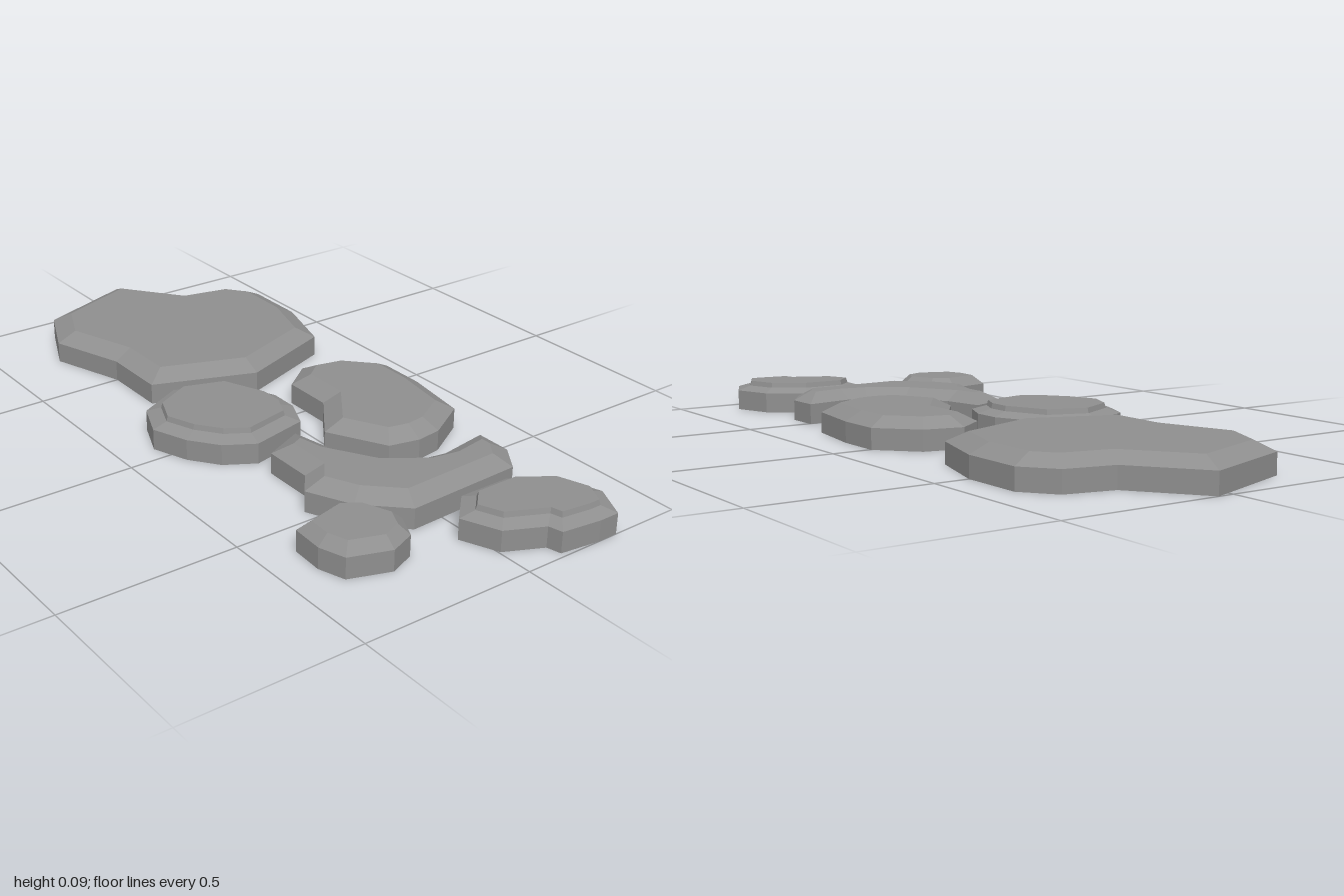
import * as THREE from 'three';

const BEVEL_Y = 0.06, STEP_Y = 0.073, TOP_Y = 0.088;

// Ring of an outline (x, z pairs, clockwise from above) at height y, every edge moved inwards by inset
function ring(outline, y, inset) {
  const count = outline.length / 2;
  const corner = (i) => {
    const k = 2 * ((i + count) % count);
    return new THREE.Vector2(outline[k], outline[k + 1]);
  };
  const inward = (from, to) => new THREE.Vector2(from.y - to.y, to.x - from.x).normalize();
  return Array.from({ length: count }, (_, i) => {
    const p = corner(i);
    const n1 = inward(corner(i - 1), p), n2 = inward(p, corner(i + 1));
    p.addScaledVector(n1.clone().add(n2), inset / (1 + n1.dot(n2)));
    return new THREE.Vector3(p.x, y, p.y);
  });
}

// Flat-faced solid through the rings, capped at both ends
function loft(rings) {
  const pos = [];
  const tri = (...pts) => pts.forEach((p) => pos.push(p.x, p.y, p.z));
  for (let k = 0; k < rings.length - 1; k++) {
    const a = rings[k], b = rings[k + 1];
    a.forEach((p, i) => {
      const j = (i + 1) % a.length;
      tri(a[j], p, b[i]);
      tri(a[j], b[i], b[j]);
    });
  }
  const cap = (pts, up) => {
    const contour = pts.map((p) => new THREE.Vector2(p.x, p.z));
    for (const [i, j, k] of THREE.ShapeUtils.triangulateShape(contour, [])) {
      const [a, b, c] = [pts[i], pts[j], pts[k]];
      const facesUp = (b.z - a.z) * (c.x - a.x) - (b.x - a.x) * (c.z - a.z) > 0;
      if (facesUp === up) tri(a, b, c);
      else tri(a, c, b);
    }
  };
  cap(rings[0], false);
  cap(rings[rings.length - 1], true);
  const geo = new THREE.BufferGeometry();
  geo.setAttribute('position', new THREE.Float32BufferAttribute(pos, 3));
  geo.computeVertexNormals();
  return geo;
}

export function createModel() {
  const group = new THREE.Group();
  group.name = 'steppingStones';
  const material = new THREE.MeshStandardMaterial({ color: 0x8f8f8f, flatShading: true });

  // Upright wall and sloped bevel; stepped stones also get a small raised slab on top
  const addStone = (name, inset, stepped, outline) => {
    const rings = [ring(outline, 0, 0), ring(outline, BEVEL_Y, 0)];
    if (stepped) rings.push(ring(outline, STEP_Y, inset), ring(outline, TOP_Y, inset + 0.004));
    else rings.push(ring(outline, TOP_Y, inset));
    const stone = new THREE.Mesh(loft(rings), material);
    stone.name = name;
    group.add(stone);
  };

  addStone('largeStone', 0.055, false, [-1, -.045, -.81, -.19, -.78, -.33, -.69, -.4, -.5, -.4, -.3, -.34,
    -.19, -.045, -.3, .25, -.5, .25, -.72, .325, -.89, .25]);
  addStone('backStone', 0.05, false, [-.135, -.17, -.11, -.285, -.005, -.385, .135, -.385, .33, -.355,
    .405, -.23, .415, -.155, .395, -.065, .23, .025, .085, -.08, -.065, -.08]);
  addStone('roundStone', 0.04, true, [-.235, .215, -.185, .065, -.035, 0, .05, 0, .14, .04,
    .18, .21, .13, .295, .05, .355, -.055, .395, -.165, .35]);
  addStone('curvedStone', 0.05, false, [.49, -.305, .595, -.305, .675, -.25, .69, .095, .585, .205, .46, .265,
    .395, .215, .245, .215, .19, .095, .315, .07, .44, -.005, .505, -.1, .515, -.16]);
  addStone('notchedStone', 0.038, true, [.71, -.195, .785, -.305, .9, -.345, 1, -.295, 1, -.235,
    .985, -.12, .945, -.11, .895, -.005, .79, .04, .71, -.04]);
  addStone('smallStone', 0.03, false, [.565, .255, .605, .19, .705, .15, .78, .185, .81, .26,
    .77, .375, .695, .4, .6, .395]);
  return group;
}
